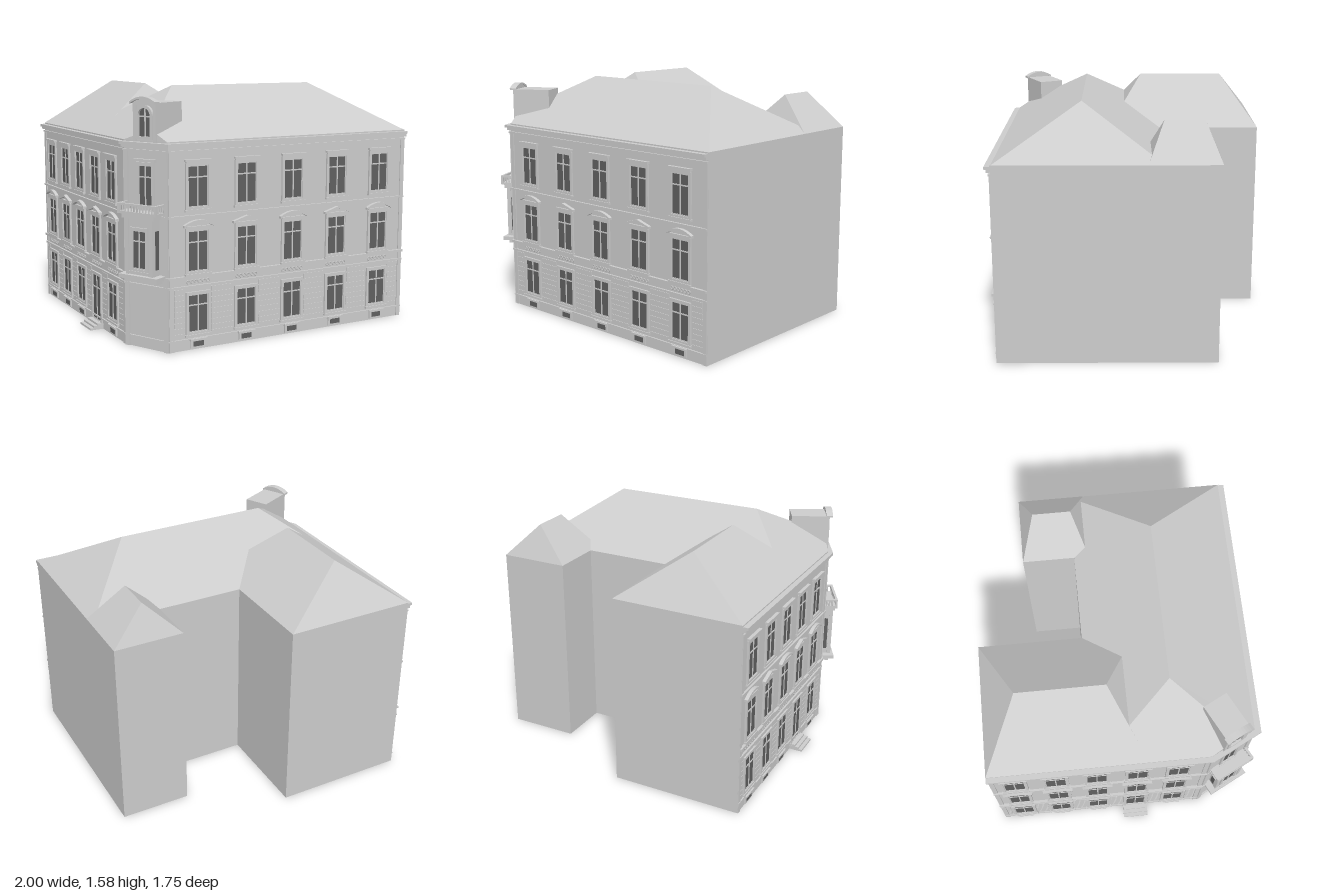
import * as THREE from 'three';

const stone = new THREE.MeshStandardMaterial({ color: 0xcccccc });
stone.name = 'stone';
const glass = new THREE.MeshStandardMaterial({ color: 0x606060 });
glass.name = 'dark glass';

const TOP = 1.275;

function add(parent, name, geo, mat = stone, x = 0, y = 0, z = 0) {
  const m = new THREE.Mesh(geo, mat);
  m.name = name;
  m.position.set(x, y, z);
  parent.add(m);
  return m;
}
function group(parent, name) {
  const g = new THREE.Group();
  g.name = name;
  parent.add(g);
  return g;
}
// box spanning x0..x1, y0..y1, z0..z1
function block(parent, name, x0, x1, y0, y1, z0, z1, mat = stone) {
  return add(parent, name, new THREE.BoxGeometry(x1 - x0, y1 - y0, z1 - z0), mat,
    (x0 + x1) / 2, (y0 + y1) / 2, (z0 + z1) / 2);
}
function extrude(shape, depth) {
  return new THREE.ExtrudeGeometry(shape, { depth, bevelEnabled: false, curveSegments: 10 });
}
// flat-sided surface from convex polygons
function polygons(list) {
  const pos = [];
  for (const p of list)
    for (let i = 1; i < p.length - 1; i++) pos.push(...p[0], ...p[i], ...p[i + 1]);
  const g = new THREE.BufferGeometry();
  g.setAttribute('position', new THREE.Float32BufferAttribute(pos, 3));
  g.computeVertexNormals();
  return g;
}
// hipped roof with its ridge along z
function hipRoof(x0, x1, z0, z1, ridgeY, back, front) {
  const xm = (x0 + x1) / 2;
  const a = [x0, TOP, z1], b = [x1, TOP, z1], c = [x1, TOP, z0], d = [x0, TOP, z0];
  const f = [xm, ridgeY, front], r = [xm, ridgeY, back];
  return polygons([[a, b, f], [b, c, r, f], [c, d, r], [d, a, f, r]]);
}
// curved (or pointed) strip of width w, rise h, thickness t
function hoodShape(w, h, t, pointed) {
  const s = new THREE.Shape();
  s.moveTo(-w / 2, 0);
  if (pointed) s.lineTo(0, h).lineTo(w / 2, 0);
  else s.quadraticCurveTo(0, h * 2, w / 2, 0);
  s.lineTo(w / 2, -t);
  if (pointed) s.lineTo(0, h - t).lineTo(-w / 2, -t);
  else s.quadraticCurveTo(0, h * 2 - t, -w / 2, -t);
  return s;
}
function rect(s, w, y0, y1) {
  return s.moveTo(-w / 2, y0).lineTo(w / 2, y0).lineTo(w / 2, y1).lineTo(-w / 2, y1).closePath();
}

// framed window with a cross bar and a centre bar
function windowUnit(parent, x, y0, y1, w = 0.135, z = 0) {
  const g = group(parent, 'window');
  g.position.set(x, 0, z);
  block(g, 'pane', -w / 2, w / 2, y0, y1, 0, 0.003, glass);
  const frame = rect(new THREE.Shape(), w + 0.034, y0 - 0.015, y1 + 0.017);
  frame.holes.push(rect(new THREE.Path(), w, y0, y1));
  add(g, 'frame', extrude(frame, 0.012));
  const inner = rect(new THREE.Shape(), w + 0.012, y0 - 0.005, y1 + 0.006);
  inner.holes.push(rect(new THREE.Path(), w - 0.01, y0 + 0.006, y1 - 0.006));
  add(g, 'innerFrame', extrude(inner, 0.007));
  const yc = y0 + (y1 - y0) * 0.72;
  block(g, 'crossBar', -w / 2, w / 2, yc - 0.004, yc + 0.004, 0, 0.007);
  block(g, 'centreBar', -0.004, 0.004, y0, y1, 0, 0.007);
  block(g, 'sill', -w / 2 - 0.022, w / 2 + 0.022, y0 - 0.026, y0 - 0.013, 0, 0.018);
  return g;
}

// horizontal mouldings; ends extended in proportion to depth to meet at corners
function bands(g, u0, u1, e0, e1) {
  const rows = [
    [0.062, 0.072, 0.01], [0.39, 0.402, 0.012], [0.448, 0.463, 0.018], [0.82, 0.832, 0.014],
    [1.21, 1.222, 0.012], [1.232, 1.25, 0.022], [1.25, TOP - 0.008, 0.035],
  ];
  for (const [y0, y1, d] of rows) block(g, 'moulding', u0 - e0 * d, u1 + e1 * d, y0, y1, -0.005, d);
}

// one decorated street front in local coordinates (x along, z outward)
function facade(parent, name, u0, u1, e0, e1, centres, doorIndex) {
  const g = group(parent, name);
  bands(g, u0, u1, e0, e1);
  for (const u of [u0 + 0.016, u1 - 0.016])
    block(g, 'cornerStrip', u - 0.015, u + 0.015, 0, 1.21, 0, 0.006);

  centres.forEach((x, i) => {
    const isDoor = i === doorIndex;
    if (isDoor) {
      windowUnit(g, x, 0.04, 0.345).name = 'door';
      [[0.09, 0.013], [0.065, 0.026], [0.04, 0.039]].forEach(([d, h]) =>
        block(g, 'doorStep', x - 0.088, x + 0.088, h - 0.013, h, 0, d));
    } else {
      windowUnit(g, x, 0.11, 0.345);
      block(g, 'cellarFrame', x - 0.052, x + 0.052, 0.01, 0.062, 0, 0.01);
      block(g, 'cellarPane', x - 0.036, x + 0.036, 0.02, 0.052, 0.005, 0.012, glass);
      block(g, 'cellarHood', x - 0.06, x + 0.06, 0.058, 0.07, 0, 0.022);
    }
    windowUnit(g, x, 0.487, 0.737);
    windowUnit(g, x, 0.88, 1.13);
    // hoods over the upper floors
    add(g, 'pediment', extrude(hoodShape(0.2, 0.03, 0.014, i % 2 === 1), 0.024), stone, x, 0.773, 0);
    block(g, 'frieze', x - 0.08, x + 0.08, 0.752, 0.764, 0, 0.012);
    block(g, 'lintel', x - 0.082, x + 0.082, 1.147, 1.155, 0, 0.014);
    block(g, 'lintelCap', x - 0.09, x + 0.09, 1.155, 1.167, 0, 0.022);
    // ring ornaments under the middle windows
    for (let k = -2.5; k < 3; k++)
      add(g, 'ring', new THREE.TorusGeometry(0.01, 0.0035, 5, 10), stone, x + k * 0.027, 0.425, 0.003);
  });

  // rusticated courses between ground floor openings
  const edges = [u0 + 0.034, ...centres.flatMap((c) => [c - 0.092, c + 0.092]), u1 - 0.034];
  for (let i = 0; i < edges.length; i += 2)
    for (let y = 0.077; y < 0.375; y += 0.0345)
      block(g, 'course', edges[i], edges[i + 1], y, y + 0.03, -0.002, 0.004);
  return g;
}

// angled corner with bay, balcony and dormer
function cornerFront(parent) {
  const g = group(parent, 'cornerFront');
  const h = 0.168;
  bands(g, -h, h, 0.24, 0.6);
  for (const s of [-1, 1]) block(g, 'pilaster', s * 0.148 - 0.016, s * 0.148 + 0.016, 0, 1.21, 0, 0.01);

  const bay = group(g, 'bay');
  block(bay, 'bayFloor', -0.145, 0.145, 0.447, 0.472, 0, 0.094);
  block(bay, 'bayCorbel', -0.12, 0.12, 0.425, 0.447, 0, 0.06);
  block(bay, 'bayBody', -0.1, 0.1, 0.472, 0.84, 0, 0.066);
  windowUnit(bay, 0, 0.51, 0.745, 0.1, 0.066);
  for (const s of [-1, 1]) {
    block(bay, 'bayPost', s * 0.091 - 0.011, s * 0.091 + 0.011, 0.472, 0.82, 0.05, 0.075);
    block(bay, 'baySidePane', s * 0.1 - 0.003, s * 0.1 + 0.003, 0.51, 0.745, 0.012, 0.044, glass);
  }
  block(bay, 'bayCornice', -0.12, 0.12, 0.815, 0.842, 0, 0.085);

  const bal = group(g, 'balcony');
  block(bal, 'balconyFloor', -0.145, 0.145, 0.842, 0.858, 0, 0.096);
  block(bal, 'frontRail', -0.145, 0.145, 0.893, 0.906, 0.08, 0.096);
  for (const s of [-1, 1]) {
    block(bal, 'sideRail', s * 0.137 - 0.008, s * 0.137 + 0.008, 0.893, 0.906, 0, 0.082);
    block(bal, 'railPost', s * 0.137 - 0.008, s * 0.137 + 0.008, 0.856, 0.895, 0.08, 0.096);
    for (const z of [0.02, 0.04, 0.06])
      add(bal, 'baluster', new THREE.CylinderGeometry(0.005, 0.005, 0.038, 6), stone, s * 0.137, 0.876, z);
  }
  for (let i = -5; i <= 5; i++)
    add(bal, 'baluster', new THREE.CylinderGeometry(0.005, 0.005, 0.038, 6), stone, i * 0.022, 0.876, 0.088);

  windowUnit(g, 0, 0.875, 1.13, 0.1);
  block(g, 'lintelCap', -0.08, 0.08, 1.15, 1.167, 0, 0.022);

  // dormer with an arched opening
  const d = group(g, 'dormer');
  block(d, 'dormerBody', -0.085, 0.085, TOP - 0.02, 1.5, -0.25, -0.005);
  const arch = (s, w, y0, y1) => s.moveTo(-w, y0).lineTo(w, y0).lineTo(w, y1)
    .absarc(0, y1, w, 0, Math.PI, false).closePath();
  const frame = arch(new THREE.Shape(), 0.062, 1.285, 1.425);
  frame.holes.push(arch(new THREE.Path(), 0.044, 1.3, 1.425));
  add(d, 'archFrame', extrude(frame, 0.02), stone, 0, 0, -0.005);
  add(d, 'archPane', extrude(arch(new THREE.Shape(), 0.046, 1.3, 1.425), 0.004), glass, 0, 0, -0.005);
  block(d, 'centreBar', -0.004, 0.004, 1.3, 1.465, -0.005, 0.004);
  block(d, 'crossBar', -0.044, 0.044, 1.415, 1.423, -0.005, 0.004);
  for (const s of [-1, 1])
    block(d, 'dormerPost', s * 0.075 - 0.01, s * 0.075 + 0.01, TOP - 0.01, 1.5, -0.005, 0.01);
  const tympanum = new THREE.Shape();
  tympanum.moveTo(-0.085, 1.485).lineTo(0.085, 1.485).lineTo(0.085, 1.5).quadraticCurveTo(0, 1.55, -0.085, 1.5);
  add(d, 'tympanum', extrude(tympanum, 0.02), stone, 0, 0, -0.01);
  add(d, 'dormerHood', extrude(hoodShape(0.19, 0.03, 0.013, false), 0.045), stone, 0, 1.507, -0.015);
  return g;
}

export function createModel() {
  const model = new THREE.Group();
  model.name = 'cornerHouse';

  // walls: footprint given as x, z
  const plan = [[-0.76, 0.84], [1, 0.84], [1, -0.545], [0.54, -0.545], [0.54, -0.2],
    [-0.04, -0.2], [-0.04, -0.875], [-0.91, -0.875], [-0.91, 0.545]];
  const walls = extrude(new THREE.Shape(plan.map(([x, z]) => new THREE.Vector2(x, -z))), TOP);
  walls.rotateX(-Math.PI / 2);
  add(model, 'walls', walls);

  // main roof with its corner cut off over the angled front
  const f1 = [-0.91, TOP, 0.545], f2 = [-0.762, TOP, 0.835], h = [-0.817, 1.343, 0.722];
  const b = [1, TOP, 0.835], c = [1, TOP, -0.2], d = [-0.91, TOP, -0.2];
  const l = [-0.47, 1.58, 0.31], r = [0.57, 1.58, 0.31];
  add(model, 'mainRoof', polygons([[f2, b, r, l, h], [b, c, r], [c, d, l, r], [d, f1, h, l], [f1, f2, h]]));
  add(model, 'leftWingRoof', hipRoof(-0.91, -0.04, -0.875, 0.15, 1.58, -0.645, -0.078));
  add(model, 'rightWingRoof', hipRoof(0.54, 1, -0.545, -0.1, 1.5, -0.45, -0.2));

  const step = (start, gap) => [0, 1, 2, 3, 4].map((i) => start + i * gap);
  facade(model, 'frontFacade', -0.76, 1, 0.6, 0, step(-0.565, 0.339), -1).position.z = 0.84;

  const side = facade(model, 'sideFacade', -0.875, 0.545, 0, 0.24, step(-0.72, 0.268), 3);
  side.position.x = -0.91;
  side.rotation.y = -Math.PI / 2;

  const corner = cornerFront(model);
  corner.position.set(-0.835, 0, 0.6925);
  corner.rotation.y = Math.atan2(-0.295, 0.15);
  return model;
}
